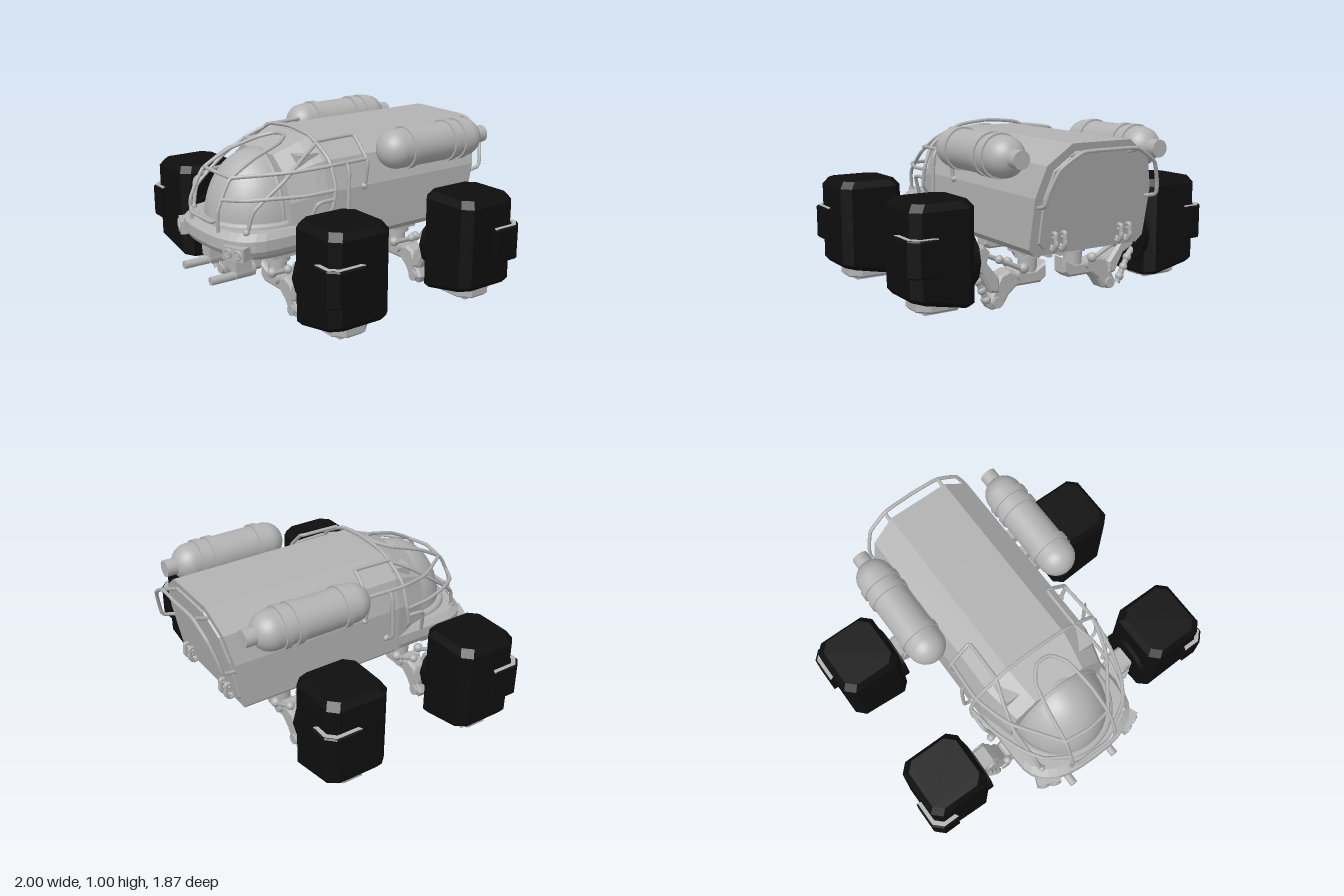
import * as THREE from 'three';

const V = (x, y, z) => new THREE.Vector3(x, y, z);

// Skin a closed solid through matching rings of points, facing outwards
function loft(rings) {
  const tris = [], n = rings[0].length, last = rings.length - 1;
  for (let r = 0; r < last; r++) {
    for (let i = 0; i < n; i++) {
      const j = (i + 1) % n, a = rings[r], b = rings[r + 1];
      tris.push([a[i], a[j], b[j]], [a[i], b[j], b[i]]);
    }
  }
  for (let i = 1; i < n - 1; i++) {
    tris.push([rings[0][0], rings[0][i + 1], rings[0][i]]);
    tris.push([rings[last][0], rings[last][i], rings[last][i + 1]]);
  }
  const c = rings[0][0];
  const vol = tris.reduce((s, [p, q, r]) =>
    s + p.clone().sub(c).dot(q.clone().sub(c).cross(r.clone().sub(c))), 0);
  const pts = tris.flatMap(([p, q, r]) => (vol < 0 ? [p, r, q] : [p, q, r]));
  const g = new THREE.BufferGeometry().setFromPoints(pts);
  g.computeVertexNormals();
  return g;
}

// Mirror a geometry in x or z and keep its faces outward
function mirror(geo, sx, sz) {
  const g = geo.index ? geo.toNonIndexed() : geo.clone();
  g.scale(sx, 1, sz);
  if (sx * sz < 0) {
    for (const key of ['position', 'normal']) {
      const a = g.attributes[key];
      for (let i = 0; i < a.count; i += 3) {
        const p = V().fromBufferAttribute(a, i + 1), q = V().fromBufferAttribute(a, i + 2);
        a.setXYZ(i + 1, q.x, q.y, q.z);
        a.setXYZ(i + 2, p.x, p.y, p.z);
      }
    }
  }
  return g;
}

// Geometry helpers
const box = (w, h, d, x, y, z) => new THREE.BoxGeometry(w, h, d).translate(x, y, z);
const ball = (r, x, y, z) => new THREE.SphereGeometry(r, 16, 10).translate(x, y, z);
const cylX = (r, l, x, y, z, n = 20) => new THREE.CylinderGeometry(r, r, l, n).rotateZ(Math.PI / 2).translate(x, y, z);
const cylY = (r, l, x, y, z, n = 20) => new THREE.CylinderGeometry(r, r, l, n).translate(x, y, z);
const cylZ = (r, l, x, y, z, n = 20) => new THREE.CylinderGeometry(r, r, l, n).rotateX(Math.PI / 2).translate(x, y, z);
const bar = (pts, r = 0.011) => new THREE.TubeGeometry(
  new THREE.CatmullRomCurve3(pts.map(p => V(...p)), false, 'catmullrom', 0.25), pts.length * 6, r, 8);
const sym = pts => [...pts, ...pts.filter(p => p[0] > 0).reverse().map(([x, y, z]) => [-x, y, z])];
const octagon = (x, z, w, d, c, yOf) => [[w, d - c], [w - c, d], [c - w, d], [-w, d - c],
  [-w, c - d], [c - w, -d], [w - c, -d], [w, c - d]].map(([a, b]) => V(x + a, yOf(x + a), z + b));

function plate(pts, depth, bevel) {
  const shape = new THREE.Shape(pts.map(p => new THREE.Vector2(...p)));
  return new THREE.ExtrudeGeometry(shape, { depth: depth - 2 * bevel, bevelEnabled: bevel > 0,
    bevelThickness: bevel, bevelSize: bevel, bevelOffset: -bevel, bevelSegments: 1 })
    .translate(0, 0, bevel - depth / 2);
}

// Hull cross-section, scaled about its middle
const half = [[0.19, 0.96], [0.335, 0.85], [0.385, 0.68], [0.385, 0.40], [0.345, 0.36]];
const section = (s, zOf, mid = 0.64) => [...half, ...[...half].reverse().map(([x, y]) => [-x, y])]
  .map(([x, y]) => [x * s, mid + (y - mid) * s]).map(([x, y]) => V(x, y, zOf(y)));
const rear = off => y => -0.73 - (y - 0.36) * 0.2 - off;

export function createModel() {
  const grey = new THREE.MeshStandardMaterial({ color: 0xb2b2b2 });
  const black = new THREE.MeshStandardMaterial({ color: 0x0e0e0e });
  grey.name = 'bodyGrey';
  black.name = 'podBlack';
  const model = new THREE.Group();
  model.name = 'rover';
  const add = (name, geo, mat = grey, parent = model) => {
    const m = new THREE.Mesh(geo, mat);
    m.name = name;
    parent.add(m);
  };
  const pair = (name, geo, mat = grey) => {
    add(name + 'Left', geo, mat);
    add(name + 'Right', mirror(geo, -1, 1), mat);
  };

  // Hull, cowl and rear door
  add('hull', loft([section(1, rear(0)), section(1, () => 0.3)]));
  add('cowl', loft([section(1, () => 0.3), section(0.97, () => 0.36, 0.4), section(0.86, () => 0.52, 0.4)]));
  add('rearDoor', loft([section(0.88, rear(-0.01)), section(0.86, rear(0.012))]));
  pair('cowlBlock', box(0.11, 0.1, 0.13, 0.24, 0.84, 0.37));

  // Nose deck, rounded in plan
  const nose = (s, y) => {
    const pts = [[-0.385, 0.15], [0.385, 0.15]];
    for (let i = 0; i <= 16; i++) {
      const a = (i / 16) * Math.PI, c = Math.cos(a);
      pts.push([0.385 * Math.sign(c) * Math.abs(c) ** 0.75, 0.62 + 0.285 * Math.sin(a) ** 0.7]);
    }
    return pts.map(([x, z]) => V(x * s, y, 0.3 + (z - 0.3) * s));
  };
  add('noseDeck', loft([nose(0.88, 0.36), nose(0.97, 0.39), nose(1, 0.42), nose(1, 0.48), nose(0.93, 0.515)]));

  // Canopy dome with base collar and seam
  add('canopy', new THREE.SphereGeometry(1, 40, 16, 0, Math.PI * 2, 0, Math.PI / 2)
    .scale(0.285, 0.385, 0.305).translate(0, 0.51, 0.53));
  add('canopyCollar', new THREE.TorusGeometry(0.3, 0.025, 8, 40).rotateX(Math.PI / 2).translate(0, 0.515, 0.54));
  add('canopySeam', new THREE.TorusGeometry(1, 0.025, 6, 32, Math.PI).scale(0.285, 0.383, 0.5).translate(0, 0.51, 0.53));

  // Headlights
  for (const dx of [0, -0.033, 0.033]) {
    const g = dx ? new THREE.TorusGeometry(0.022, 0.007, 8, 20).translate(dx, 0, 0.047) : box(0.14, 0.075, 0.09, 0, 0, 0);
    pair('headlight', g.rotateY(0.4).translate(0.29, 0.42, 0.83));
    if (dx) pair('lamp', cylZ(0.016, 0.02, dx, 0, 0.045).rotateY(0.4).translate(0.29, 0.42, 0.83));
  }

  // Probes under the nose
  pair('probeBracket', box(0.09, 0.12, 0.1, 0.15, 0.32, 0.74));
  pair('probeMount', cylZ(0.045, 0.12, 0.15, 0.25, 0.72, 8));
  pair('probe', cylZ(0.024, 0.26, 0.155, 0.23, 0.8, 12));

  // Roof tanks with bands, neck and clips
  const profile = [[0, -0.365]];
  for (const s of [-1, 1]) {
    for (let i = 0; i <= 8; i++) {
      const a = (s < 0 ? i : 8 - i) / 8 * Math.PI / 2;
      profile.push([0.113 * Math.sin(a), s * (0.255 + 0.11 * Math.cos(a))]);
    }
  }
  pair('tank', new THREE.LatheGeometry(profile.map(p => new THREE.Vector2(...p)), 32)
    .rotateX(Math.PI / 2).translate(0.46, 0.885, -0.365));
  for (const z of [-0.18, -0.485, -0.565]) pair('tankBand', cylZ(0.123, 0.04, 0.46, 0.885, z, 32));
  pair('tankNeck', cylZ(0.05, 0.09, 0.46, 0.885, -0.74));
  for (const z of [-0.4, -0.27]) pair('tankClip', box(0.08, 0.07, 0.065, 0.36, 0.81, z));

  // Roll cage
  add('mainHoop', bar(sym([[0.42, 0.57, 0.33], [0.45, 0.61, 0.32], [0.45, 0.72, 0.3], [0.4, 0.85, 0.3],
    [0.34, 0.9, 0.3], [0.2, 0.97, 0.3], [0, 0.99, 0.3]])));
  add('canopyArch', bar(sym([[0.15, 0.5, 0.87], [0.155, 0.62, 0.87], [0.15, 0.78, 0.79], [0.14, 0.87, 0.63],
    [0.11, 0.925, 0.45], [0.05, 0.95, 0.37], [0, 0.955, 0.36]])));
  add('upperCrossBar', bar([[-0.15, 0.79, 0.78], [0, 0.8, 0.8], [0.15, 0.79, 0.78]]));
  add('lowerCrossBar', bar([[-0.15, 0.57, 0.87], [-0.1, 0.55, 0.885], [0.1, 0.55, 0.885], [0.15, 0.57, 0.87]]));
  pair('roofRail', bar([[0.27, 0.95, 0.3], [0.27, 0.955, 0.06], [0.3, 0.94, 0.05], [0.4, 0.84, 0.05],
    [0.41, 0.8, 0.05], [0.39, 0.68, 0.05]]));
  pair('sideRail', bar([[0.4, 0.84, 0.05], [0.41, 0.84, 0.3], [0.34, 0.82, 0.52], [0.15, 0.79, 0.78]]));
  pair('waistRail', bar([[0.45, 0.71, 0.3], [0.42, 0.7, 0.48], [0.36, 0.7, 0.65], [0.28, 0.69, 0.77], [0.155, 0.68, 0.845]]));
  pair('frontStay', bar([[0.3, 0.5, 0.78], [0.32, 0.64, 0.74], [0.34, 0.78, 0.56], [0.31, 0.88, 0.42], [0.27, 0.94, 0.3]]));
  pair('sideStay', bar([[0.42, 0.84, 0.2], [0.44, 0.78, 0.2], [0.44, 0.55, 0.21], [0.38, 0.51, 0.21]]));
  pair('doorStay', bar([[0.45, 0.66, 0.31], [0.45, 0.65, 0.42], [0.4, 0.5, 0.46]]));
  for (const p of [[0.3, 0.52, 0.78], [0.385, 0.51, 0.21], [0.385, 0.68, 0.05]]) pair('barFoot', ball(0.02, ...p));

  // Rear handrail, hinge hooks and tow ring
  add('rearRail', bar(sym([[0.36, 0.63, -0.78], [0.37, 0.65, -0.86], [0.36, 0.72, -0.88], [0.31, 0.84, -0.91],
    [0.18, 0.92, -0.925], [0, 0.925, -0.93]])));
  pair('rearRailStay', bar([[0.19, 0.92, -0.925], [0.19, 0.89, -0.83]]));
  for (const x of [0.19, 0.25]) {
    pair('hingeHook', bar([[x, 0.48, -0.755], [x, 0.48, -0.79], [x, 0.42, -0.79], [x, 0.39, -0.77], [x, 0.4, -0.73]], 0.013));
    pair('towRing', new THREE.TorusGeometry(0.028, 0.01, 8, 20).rotateY(Math.PI / 2).translate(x, 0.43, -0.77));
  }

  // One corner unit: parts laid out with z = 0 at the pod centre
  const unit = [];
  const part = (name, geo, mat = grey) => unit.push([name, geo, mat]);
  const slant = y => x => y + Math.max(0, x - 0.59) * 0.2;
  const flat = y => () => y;
  part('pod', loft([octagon(0.78, 0, 0.17, 0.17, 0.05, slant(0.075)), octagon(0.78, 0, 0.19, 0.19, 0.05, slant(0.1)),
    octagon(0.78, 0, 0.19, 0.19, 0.05, flat(0.625)), octagon(0.78, 0, 0.16, 0.165, 0.05, flat(0.665))]), black);
  part('podFlange', cylX(0.17, 0.04, 0.585, 0.32, 0, 12), black);
  const guard = [[0.85, 0.225], [0.95, 0.225], [1, 0.175], [1, 0.02], [0.965, 0.02], [0.965, 0.15], [0.925, 0.19], [0.85, 0.19]];
  part('podGuard', plate(guard, 0.2, 0.008).rotateX(Math.PI / 2).translate(0, 0.39, 0), black);
  const trim = guard.map(([x, z], i) => (i < 4 ? [x - 0.008, z - 0.008] : [x + 0.004, z + 0.004]));
  part('guardTrim', plate(trim, 0.006, 0).rotateX(Math.PI / 2).translate(0, 0.49, 0));
  part('foot', loft([octagon(0.755, 0, 0.13, 0.1, 0.06, flat(0.065)), octagon(0.755, 0, 0.145, 0.12, 0.06, flat(0.08)),
    octagon(0.755, 0, 0.145, 0.12, 0.06, flat(0.2))]));
  for (const z of [-0.055, 0, 0.055]) part('footPad', box(0.2, 0.02, 0.035, 0.755, 0.062, z));

  // Suspension arms, hip and links
  part('lowerArm', plate([[0.06, 0.24], [0.06, 0.15], [0.1, 0.12], [0.26, 0.12], [0.31, 0.08], [0.35, 0.02],
    [0.42, 0.005], [0.45, 0.05], [0.41, 0.13], [0.37, 0.2], [0.31, 0.22], [0.26, 0.2], [0.14, 0.2]], 0.11, 0.015));
  part('upperArm', plate([[0.6, 0.39], [0.48, 0.385], [0.44, 0.34], [0.46, 0.28], [0.38, 0.18], [0.38, 0.1],
    [0.44, 0.11], [0.5, 0.22], [0.6, 0.27]], 0.13, 0.015));
  part('kneePin', cylZ(0.032, 0.14, 0.395, 0.05, 0));
  part('elbowPin', cylZ(0.04, 0.15, 0.5, 0.33, 0));
  part('hipPin', cylZ(0.03, 0.16, 0.24, 0.185, 0));
  part('hipMount', box(0.16, 0.07, 0.16, 0.16, 0.335, 0));
  part('hipPost', cylY(0.055, 0.14, 0.16, 0.26, 0));
  part('hipCollar', cylY(0.075, 0.03, 0.16, 0.285, 0));
  part('hipPlate', box(0.03, 0.1, 0.12, 0.04, 0.31, 0));
  for (const z of [-0.085, 0.085]) {
    part('upperLink', bar([[0.41, 0.3, z], [0.32, 0.26, z], [0.24, 0.22, z]], 0.014));
    part('upperLinkEnd', ball(0.025, 0.4, 0.3, z));
    part('upperLinkEnd', ball(0.03, 0.24, 0.23, z));
  }
  part('damper', bar([[0.58, 0.24, 0.05], [0.53, 0.2, 0.06], [0.45, 0.04, 0.06]], 0.018));
  for (const t of [0, 0.35, 0.7]) part('damperBoot', ball(0.026, 0.525 - t * 0.08, 0.19 - t * 0.16, 0.06));

  for (const [end, sz, z] of [['front', 1, 0.5], ['rear', -1, -0.385]]) {
    for (const [side, sx] of [['Left', 1], ['Right', -1]]) {
      const corner = new THREE.Group();
      corner.name = end + side + 'Corner';
      corner.position.z = z;
      unit.forEach(([name, geo, mat]) => add(name, mirror(geo, sx, sz), mat, corner));
      model.add(corner);
    }
  }
  return model;
}
